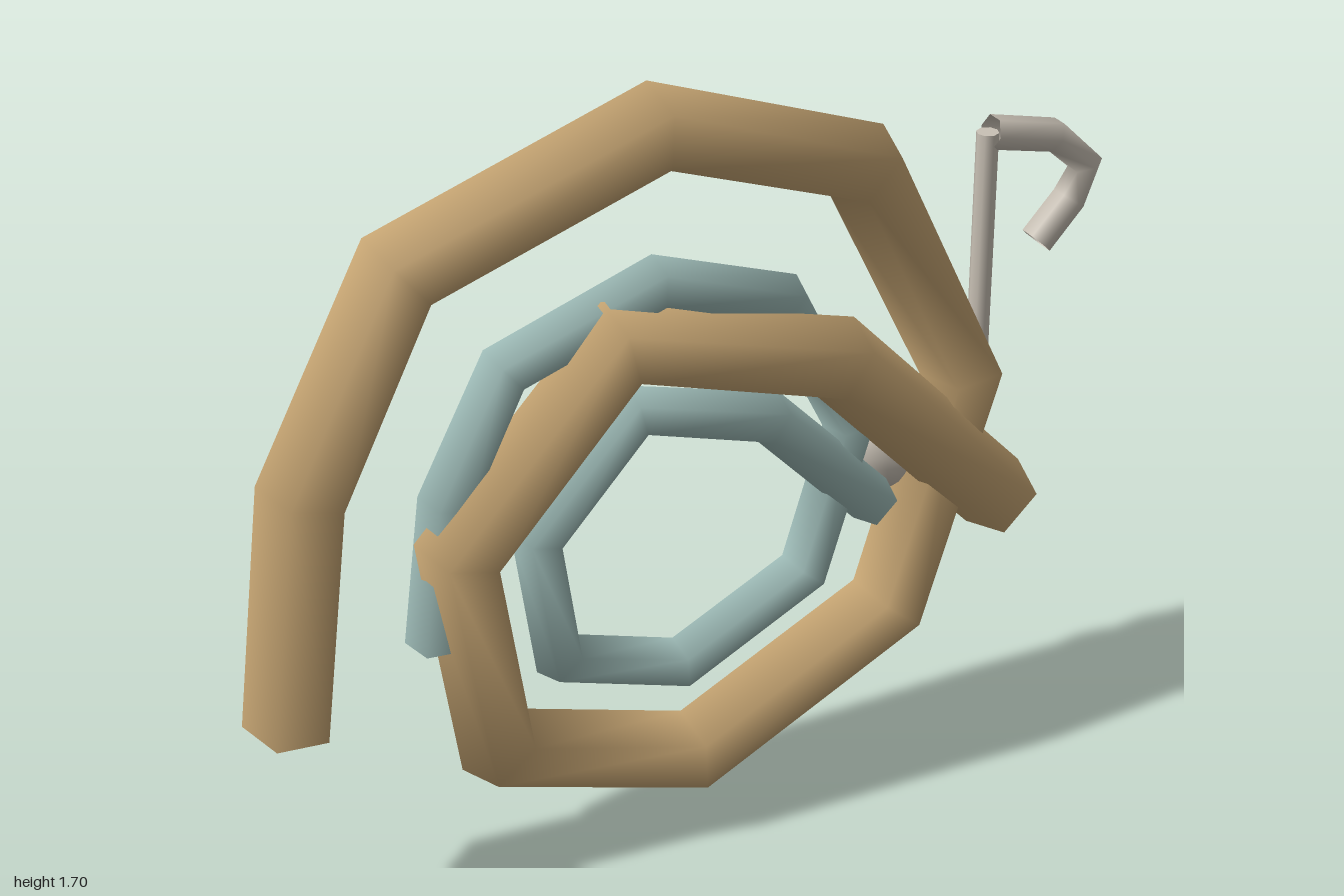
import * as THREE from 'three';

const material = (name, color, side = THREE.FrontSide) => {
  const m = new THREE.MeshStandardMaterial({ color, side });
  m.name = name;
  return m;
};

// Open tube with one ring of vertices per path point and a ridge facing the back
function sweep(points, radius, sides) {
  const path = points.map(p => new THREE.Vector3(...p));
  const position = [], normal = [], index = [];
  path.forEach((p, i) => {
    const before = path[Math.max(i - 1, 0)];
    const after = path[Math.min(i + 1, path.length - 1)];
    const t = after.clone().sub(before).normalize();
    const u = new THREE.Vector3(0, 0, -1).addScaledVector(t, t.z).normalize();
    const s = t.clone().cross(u);
    for (let j = 0; j <= sides; j++) {
      const a = (j / sides) * Math.PI * 2;
      const n = u.clone().multiplyScalar(Math.cos(a)).addScaledVector(s, Math.sin(a));
      normal.push(n.x, n.y, n.z);
      position.push(p.x + n.x * radius, p.y + n.y * radius, p.z + n.z * radius);
      if (i < path.length - 1 && j < sides) {
        const k = i * (sides + 1) + j, m = k + sides + 1;
        index.push(k, k + 1, m, k + 1, m + 1, m);
      }
    }
  });
  const g = new THREE.BufferGeometry();
  g.setAttribute('position', new THREE.Float32BufferAttribute(position, 3));
  g.setAttribute('normal', new THREE.Float32BufferAttribute(normal, 3));
  g.setIndex(index);
  return g;
}

export function createModel() {
  const group = new THREE.Group();
  const tan = material('tan', 0xc6a573, THREE.DoubleSide);
  const teal = material('paleTeal', 0x9dbab6, THREE.DoubleSide);
  const ivory = material('ivory', 0xc9c1b5, THREE.DoubleSide);

  const add = (name, geometry, mat, x = 0, y = 0, z = 0) => {
    const mesh = new THREE.Mesh(geometry, mat);
    mesh.name = name;
    mesh.position.set(x, y, z);
    group.add(mesh);
    return mesh;
  };

  // Spiral coil, used large and again as a smaller copy inside
  const coil = sweep([
    [-0.915, 0.485, -0.01], [-0.865, 1.02, 0.03], [-0.66, 1.44, 0.045],
    [-0.13, 1.612, 0.04], [0.37, 1.41, -0.02], [0.65, 0.87, -0.062],
    [0.49, 0.325, -0.075], [0, 0.09, -0.07], [-0.47, 0.29, -0.01],
    [-0.565, 0.82, 0.055], [-0.23, 1.2, 0.08], [0.28, 1.03, 0.055],
    [0.73, 0.555, -0.01],
  ], 0.092, 5);
  add('outerCoil', coil, tan);
  add('innerCoil', coil, teal, -0.04, 0.288, 0).scale.setScalar(0.617);

  // Clasp of two rounded lobes
  const lobe = new THREE.SphereGeometry(1, 16, 12);
  add('claspLobeInner', lobe, ivory, 0.505, 0.695, -0.108).scale.set(0.1, 0.098, 0.063);
  add('claspLobeOuter', lobe, ivory, 0.64, 0.73, -0.106).scale.set(0.095, 0.085, 0.06);

  // Stem and hook
  add('stem', new THREE.CylinderGeometry(0.024, 0.024, 0.7, 8), ivory, 0.712, 1.03, -0.1);
  add('hook', sweep([
    [0.72, 1.378, -0.1], [0.875, 1.34, -0.1], [0.96, 1.26, -0.1],
    [0.925, 1.185, -0.1], [0.848, 1.103, -0.1],
  ], 0.037, 6), ivory);

  return group;
}
